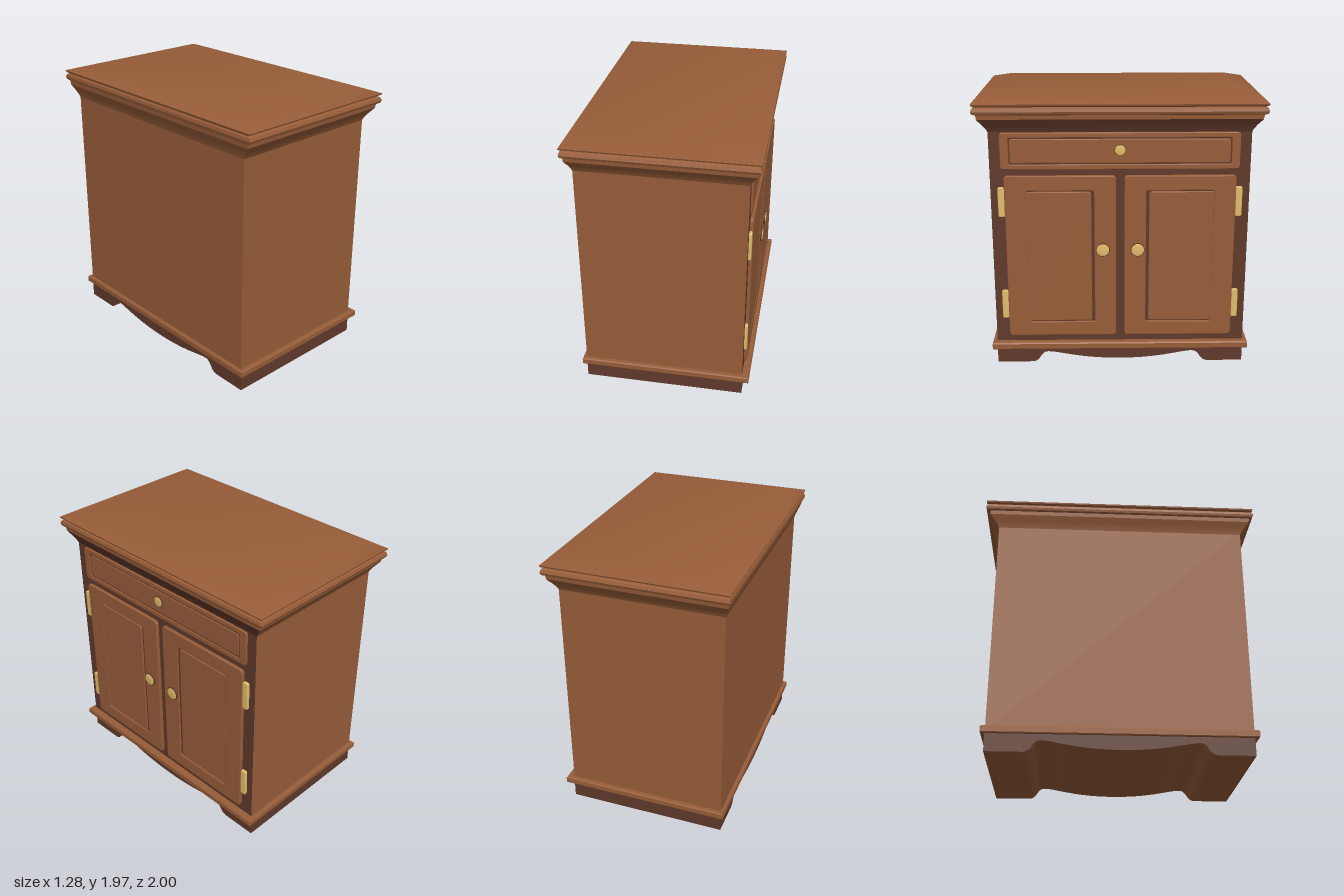
import * as THREE from 'three';
import { toCreasedNormals } from 'three/addons/utils/BufferGeometryUtils.js';

const wood = new THREE.MeshStandardMaterial({ color: 0x985d39 });
wood.name = 'warm wood';
const darkWood = new THREE.MeshStandardMaterial({ color: 0x61392b });
darkWood.name = 'dark wood';
const brass = new THREE.MeshStandardMaterial({ color: 0xe2bd6a });
brass.name = 'brass';

// Carcass extents: the doors sit on the +x face
const BACK = -0.59, FACE = 0.565, SIDE = 0.9;

function add(parent, name, geometry, material, x = 0, y = 0, z = 0) {
  const mesh = new THREE.Mesh(geometry, material);
  mesh.name = name;
  mesh.position.set(x, y, z);
  parent.add(mesh);
}

function roundedRect(path, w, h, r) {
  const x = w / 2, y = h / 2;
  path.moveTo(-x + r, -y);
  path.lineTo(x - r, -y).quadraticCurveTo(x, -y, x, -y + r);
  path.lineTo(x, y - r).quadraticCurveTo(x, y, x - r, y);
  path.lineTo(-x + r, y).quadraticCurveTo(-x, y, -x, y - r);
  path.lineTo(-x, -y + r).quadraticCurveTo(-x, -y, -x + r, -y);
  return path;
}

// Bevelled slab in the y-z plane, growing from x = 0 to x = thick
function slab(w, h, r, thick, bevel, hole) {
  const shape = roundedRect(new THREE.Shape(), w - 2 * bevel, h - 2 * bevel, r);
  if (hole) shape.holes.push(roundedRect(new THREE.Path(), hole.w + 2 * bevel, hole.h + 2 * bevel, r));
  const g = new THREE.ExtrudeGeometry(shape, {
    depth: thick - bevel, bevelThickness: bevel, bevelSize: bevel, bevelSegments: 2, curveSegments: 4,
  });
  g.rotateY(Math.PI / 2);
  return toCreasedNormals(g, 0.3);
}

// Frame with a dark recessed groove around a raised field
function framedPanel(parent, name, w, h, thick, hole, y, z, offZ) {
  const g = new THREE.Group();
  g.name = name;
  g.position.set(FACE, y, z);
  parent.add(g);
  add(g, 'frame', slab(w, h, 0.02, thick, 0.006, hole), wood);
  add(g, 'groove', slab(hole.w + 0.03, hole.h + 0.03, 0.01, thick * 0.5, 0.002), darkWood, 0, 0, offZ);
  add(g, 'raisedField', slab(hole.w - 0.014, hole.h - 0.014, 0.015, thick * 0.9, 0.006), wood, 0, 0, offZ);
}

// Domed brass knob seated in a dark collar
function knob(parent, name, r, tip, y, z) {
  const g = new THREE.Group();
  g.name = name;
  g.position.set(FACE, y, z);
  parent.add(g);
  const collar = new THREE.CylinderGeometry(r, r * 0.9, tip - 0.006, 24);
  collar.rotateZ(-Math.PI / 2);
  add(g, 'collar', collar, darkWood, (tip - 0.006) / 2);
  const pts = [[0.9, -0.006], [0.88, -0.003], [0.6, -0.001], [0, 0]].map(([a, b]) => new THREE.Vector2(a * r, tip + b));
  const cap = new THREE.LatheGeometry(pts, 24);
  cap.rotateZ(-Math.PI / 2);
  add(g, 'cap', cap, brass);
}

// Rectangular rings [xMin, xMax, zHalf, y] joined into a moulding;
// material groups: +z, +x, -z, -x, caps
function ringLoft(rings) {
  const pos = [];
  const loops = rings.map(([a, b, z, y]) => [[a, y, z], [b, y, z], [b, y, -z], [a, y, -z]]);
  const quad = (a, b, c, d) => pos.push(...a, ...b, ...c, ...a, ...c, ...d);
  const g = new THREE.BufferGeometry();
  const last = loops.length - 1;
  for (let k = 0; k < 4; k++) {
    const n = (k + 1) % 4;
    for (let i = 0; i < last; i++) quad(loops[i][k], loops[i][n], loops[i + 1][n], loops[i + 1][k]);
    g.addGroup(k * last * 6, last * 6, k);
  }
  quad(...loops[last]);
  quad(...[...loops[0]].reverse());
  g.addGroup(4 * last * 6, 12, 4);
  g.setAttribute('position', new THREE.Float32BufferAttribute(pos, 3));
  return toCreasedNormals(g, 0.45);
}

// Ring at overhang fraction t beyond the carcass
const overhang = ([t, y]) => [BACK - 0.053 * t, FACE + 0.075 * t, SIDE + 0.1 * t, y];

export function createModel() {
  const model = new THREE.Group();
  model.name = 'cabinet';
  const depth = FACE - BACK, midX = (FACE + BACK) / 2;

  // Carcass with a dark face frame
  add(model, 'carcass', new THREE.BoxGeometry(depth, 1.6, SIDE * 2),
    [darkWood, wood, wood, wood, wood, wood], midX, 0.95, 0);

  // Plinth with a scalloped apron: dark faces, warm underside
  const apron = new THREE.Shape();
  apron.moveTo(-SIDE, 0);
  apron.lineTo(-0.64, 0);
  apron.bezierCurveTo(-0.58, 0.01, -0.59, 0.08, -0.53, 0.082);
  apron.bezierCurveTo(-0.45, 0.082, -0.3, 0.024, 0, 0.024);
  apron.bezierCurveTo(0.3, 0.024, 0.45, 0.082, 0.53, 0.082);
  apron.bezierCurveTo(0.59, 0.08, 0.58, 0.01, 0.64, 0);
  apron.lineTo(SIDE, 0);
  apron.lineTo(SIDE, 0.14);
  apron.lineTo(-SIDE, 0.14);
  const plinth = new THREE.ExtrudeGeometry(apron, { depth, bevelEnabled: false, curveSegments: 10 });
  plinth.rotateY(Math.PI / 2);
  add(model, 'plinth', toCreasedNormals(plinth, 0.6), [darkWood, wood], BACK);
  for (const s of [1, -1]) {
    add(model, 'plinthEnd', new THREE.BoxGeometry(depth, 0.14, 0.004), darkWood, midX, 0.07, s * SIDE);
  }

  // Base moulding
  add(model, 'baseMoulding', ringLoft([
    [-0.612, 0.612, 0.928, 0.125], [-0.615, 0.615, 0.932, 0.13],
    [-0.615, 0.615, 0.932, 0.166], [-0.608, 0.608, 0.925, 0.175],
  ]), wood);

  // Cove under the top, dark above the doors
  const cove = [[0, 1.735], [0.1, 1.755], [0.3, 1.785], [0.55, 1.815], [0.66, 1.83]];
  add(model, 'cove', ringLoft(cove.map(overhang)), [wood, darkWood, wood, wood, wood]);

  // Top with two beads and a sloped edge
  const beads = [[0.66, 1.83], [0.7, 1.86], [0.92, 1.868], [1, 1.885], [0.92, 1.905],
    [0.72, 1.915], [0.95, 1.925], [1, 1.936]];
  add(model, 'top', ringLoft([...beads.map(overhang), [-0.56, 0.555, 0.85, 1.968]]), wood);

  // Drawer
  framedPanel(model, 'drawer', 1.65, 0.26, 0.013, { w: 1.53, h: 0.185 }, 1.603, 0, 0);
  knob(model, 'drawerKnob', 0.04, 0.027, 1.61, 0);

  // Doors, knobs and hinges, mirrored about z = 0
  for (const s of [1, -1]) {
    framedPanel(model, 'door', 0.775, 1.205, 0.023, { w: 0.47, h: 0.99 }, 0.828, s * 0.417, s * 0.013);
    knob(model, 'doorKnob', 0.05, 0.042, 0.89, s * 0.123);
    for (const y of [1.24, 0.47]) {
      add(model, 'hinge', slab(0.046, 0.215, 0.008, 0.02, 0.006), brass, FACE, y, s * 0.827);
    }
  }
  return model;
}
